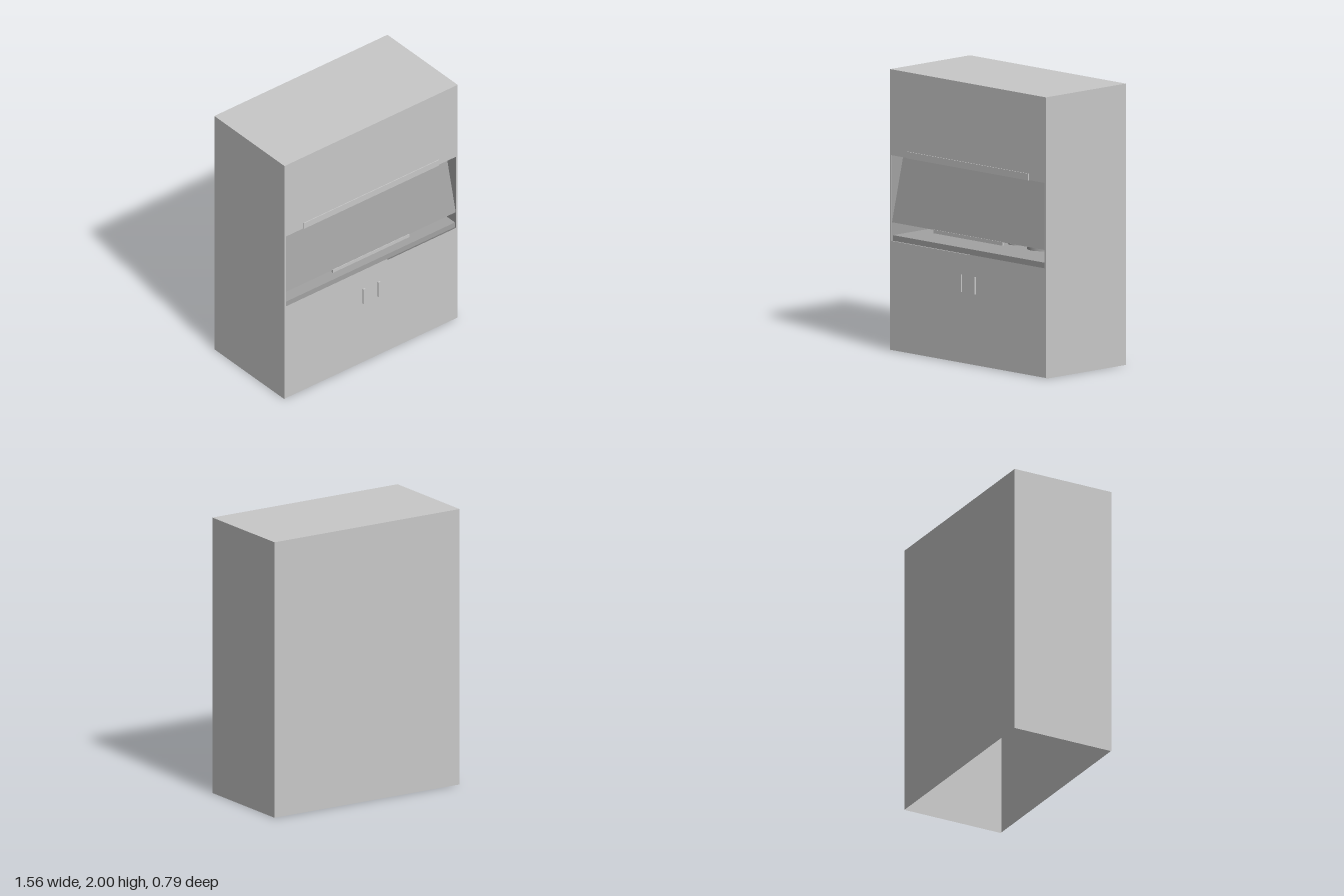
import * as THREE from 'three';

const W = 1.56, H = 2, BACK = -0.395, FRONT = 0.385;
const D = FRONT - BACK, MID = (FRONT + BACK) / 2;

export function createModel() {
  const model = new THREE.Group();
  model.name = 'fumeCupboard';

  const body = new THREE.MeshStandardMaterial({ color: 0xc8c8c8, side: THREE.DoubleSide });
  body.name = 'light grey body';
  const inner = new THREE.MeshStandardMaterial({ color: 0xa2a2a2, side: THREE.DoubleSide });
  inner.name = 'mid grey chamber';

  const add = (name, geo, mat, x, y, z, parent = model) => {
    const m = new THREE.Mesh(geo, mat);
    m.name = name;
    m.position.set(x, y, z);
    parent.add(m);
    return m;
  };
  const box = (name, w, h, d, mat, x, y, z, parent) =>
    add(name, new THREE.BoxGeometry(w, h, d), mat, x, y, z, parent);
  const panel = (name, w, h, mat, x, y, z, rx = 0, ry = 0) =>
    add(name, new THREE.PlaneGeometry(w, h), mat, x, y, z).rotation.set(rx, ry, 0);

  // Outer shell, open underneath
  panel('backPanel', W, H, body, 0, H / 2, BACK, 0, Math.PI);
  panel('topPanel', W, D, body, 0, H, MID, -Math.PI / 2);
  for (const s of [-1, 1]) {
    panel(s > 0 ? 'leftPanel' : 'rightPanel', D, H, body, s * W / 2, H / 2, MID, 0, s * Math.PI / 2);
  }

  // Front with the working opening
  const rect = (T, x, y0, y1) => {
    const p = new T();
    p.moveTo(-x, y0).lineTo(x, y0).lineTo(x, y1).lineTo(-x, y1).closePath();
    return p;
  };
  const front = rect(THREE.Shape, W / 2, 0.005, H);
  front.holes.push(rect(THREE.Path, 0.766, 0.78, 1.39));
  add('frontPanel', new THREE.ShapeGeometry(front), body, 0, 0, FRONT);

  // Working chamber lining
  panel('chamberBack', 1.53, 0.72, inner, 0, 1.14, BACK + 0.02);
  for (const s of [-1, 1]) {
    panel('chamberSide', D - 0.022, 0.72, inner, s * 0.766, 1.14, MID + 0.009, 0, -s * Math.PI / 2);
  }

  // Worktop with its front lip just behind the opening
  box('worktop', 1.53, 0.04, 0.75, inner, 0, 0.8, -0.002);

  // Sash leaning back towards the top
  const lean = Math.atan(0.24), sashLength = 0.55;
  const sash = new THREE.Group();
  sash.name = 'sash';
  sash.position.set(0, 0.912, 0.378);
  sash.rotation.x = -lean;
  model.add(sash);
  box('sashPane', 1.53, sashLength, 0.008, inner, 0, sashLength / 2, 0, sash);
  box('sashHandle', 0.69, 0.026, 0.012, body, 0, 0.902, 0.379);

  // Raised strip above the opening
  box('upperRail', 1.215, 0.048, 0.008, body, 0, 1.412, FRONT + 0.002);

  // Door handles
  for (const s of [-1, 1]) {
    box('doorHandle', 0.018, 0.124, 0.012, body, s * 0.068, 0.57, FRONT + 0.005);
  }

  // Fittings on the worktop
  add('basin', new THREE.CylinderGeometry(0.105, 0.105, 0.032, 32), inner, 0.345, 0.836, 0);
  add('drainCap', new THREE.CylinderGeometry(0.056, 0.056, 0.008, 24), inner, 0.087, 0.824, 0);
  for (let i = 0; i < 5; i++) {
    box('steppedPlate', 0.17, 0.006, 0.12, inner, -0.435 + i * 0.018, 0.825 + i * 0.009, -i * 0.02);
  }

  return model;
}
